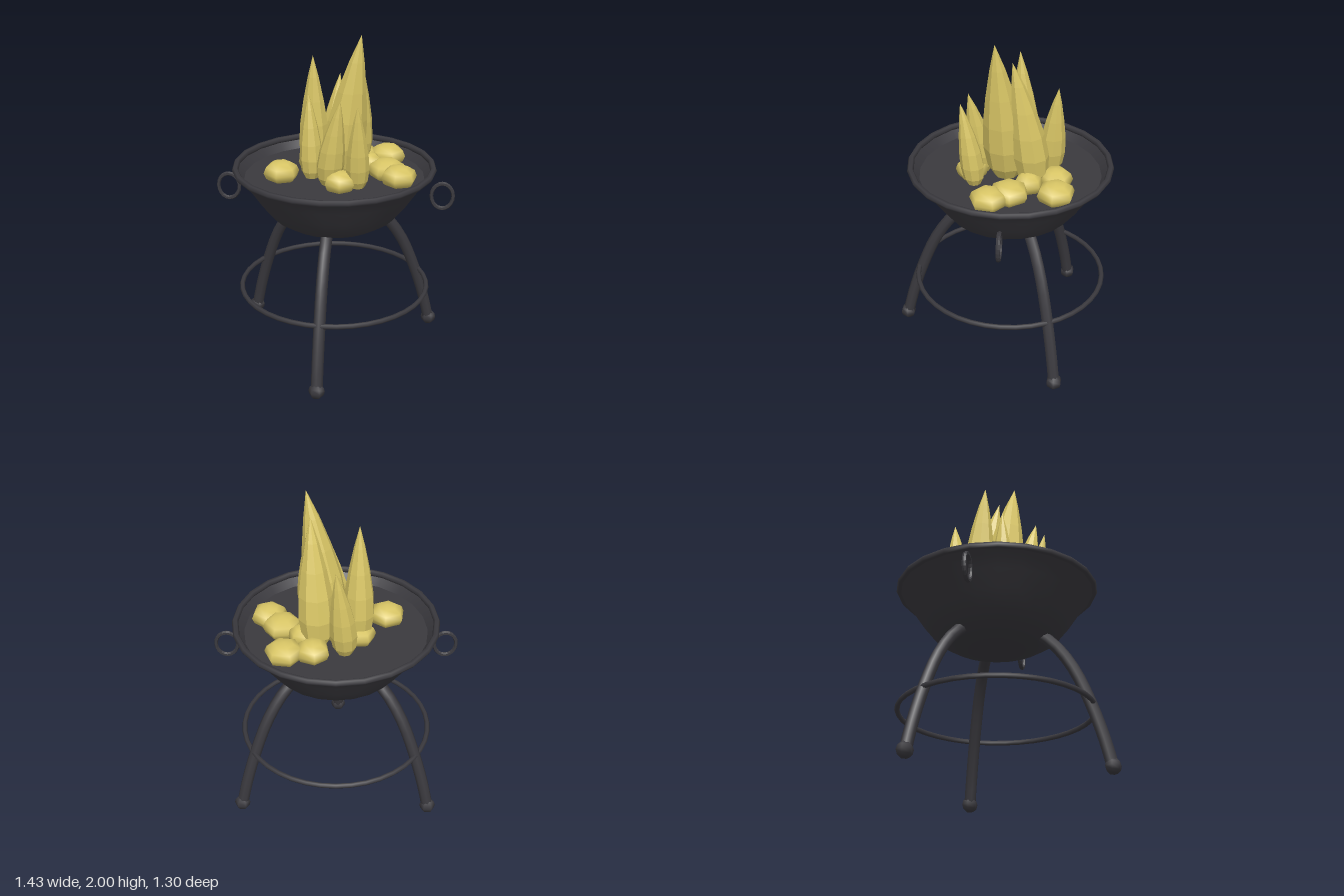
import * as THREE from 'three';

export function createModel() {
  const iron = new THREE.MeshStandardMaterial({ color: 0x3a393e, side: THREE.DoubleSide });
  iron.name = 'dark iron';
  const facetIron = new THREE.MeshStandardMaterial({ color: 0x3a393e, flatShading: true });
  facetIron.name = 'dark iron faceted';
  const glow = new THREE.MeshStandardMaterial({ color: 0xd8c565 });
  glow.name = 'ember yellow';
  const flameMat = new THREE.MeshStandardMaterial({ color: 0xd8c565, flatShading: true });
  flameMat.name = 'flame yellow faceted';

  const model = new THREE.Group();
  model.name = 'firePit';
  const stand = new THREE.Group();
  stand.name = 'stand';
  stand.position.z = -0.048;
  model.add(stand);

  const add = (parent, name, geometry, material, x = 0, y = 0, z = 0) => {
    const mesh = new THREE.Mesh(geometry, material);
    mesh.name = name;
    mesh.position.set(x, y, z);
    parent.add(mesh);
    return mesh;
  };

  // Bowl, rim and the flat bed inside
  const profile = [[0, 0.805], [0.19, 0.812], [0.29, 0.853], [0.375, 0.905], [0.45, 1.0],
    [0.51, 1.09], [0.555, 1.15], [0.59, 1.19]].map(p => new THREE.Vector2(...p));
  add(stand, 'bowl', new THREE.LatheGeometry(profile, 24), iron);
  const rim = add(stand, 'rim', new THREE.TorusGeometry(0.585, 0.019, 6, 24), iron, 0, 1.19);
  rim.rotation.x = Math.PI / 2;
  const bed = add(stand, 'bed', new THREE.CircleGeometry(0.535, 24), iron, 0, 1.13);
  bed.rotation.x = -Math.PI / 2;

  // Brace ring joining the legs
  const brace = add(stand, 'braceRing', new THREE.TorusGeometry(0.567, 0.015, 6, 40), iron, 0, 0.425);
  brace.rotation.x = Math.PI / 2;

  // Three curved legs with ball feet
  const legCurve = new THREE.CatmullRomCurve3([[0.25, 0.89], [0.35, 0.8], [0.455, 0.645],
    [0.55, 0.42], [0.62, 0.2], [0.655, 0.055]].map(([r, y]) => new THREE.Vector3(0, y, r)));
  for (let i = 0; i < 3; i++) {
    const leg = new THREE.Group();
    leg.name = 'leg' + (i + 1);
    leg.rotation.y = i * Math.PI * 2 / 3 - 0.022;
    add(leg, 'legTube', new THREE.TubeGeometry(legCurve, 12, 0.035, 8), iron);
    add(leg, 'foot', new THREE.SphereGeometry(0.048, 6, 6), iron, 0, 0.053, 0.658);
    stand.add(leg);
  }

  // Oval ring handles
  for (const side of [-1, 1]) {
    const handle = add(stand, side > 0 ? 'leftHandle' : 'rightHandle',
      new THREE.TorusGeometry(0.078, 0.013, 6, 20), facetIron, side * 0.642, 1.033);
    handle.scale.x = 0.82;
  }

  // Coals: x, z, radius
  [[-0.3, 0.05, 0.107], [0.13, -0.32, 0.1], [0.29, -0.33, 0.112], [0.31, -0.07, 0.115],
    [0.39, 0.04, 0.108], [0.06, 0.17, 0.095], [0.19, -0.17, 0.085], [-0.13, -0.15, 0.1],
    [-0.02, -0.13, 0.085]].forEach(([x, z, r], i) => {
    const coal = add(model, 'coal' + (i + 1), new THREE.SphereGeometry(1, 6, 6), glow, x, 1.175, z);
    coal.scale.set(r, 0.07, r);
    coal.rotation.y = i * 1.3 + 0.4;
  });

  // Flames: tapered spindles whose tips bend toward the given point
  const flameBase = 1.13;
  const flameProfile = [[0, 0], [0.55, 0.02], [0.86, 0.1], [1, 0.24], [0.92, 0.42],
    [0.68, 0.62], [0.36, 0.82], [0, 1]].map(p => new THREE.Vector2(...p));
  const flame = (name, x, z, r, tipX, tipY, tipZ, turn) => {
    const g = new THREE.LatheGeometry(flameProfile, 9, turn);
    const p = g.attributes.position;
    for (let i = 0; i < p.count; i++) {
      const t = p.getY(i), bend = Math.pow(t, 1.4);
      p.setXYZ(i, p.getX(i) * r + (tipX - x) * bend, t * (tipY - flameBase),
        p.getZ(i) * r + (tipZ - z) * bend);
    }
    g.computeVertexNormals();
    add(model, name, g, flameMat, x, flameBase, z);
  };
  flame('mainFlame', 0.045, -0.03, 0.125, 0.163, 2.0, 0.025, 0.2);
  flame('backFlame', 0.105, -0.19, 0.105, 0.14, 1.89, -0.07, 0.5);
  flame('sideFlame', -0.13, -0.13, 0.09, -0.13, 1.845, -0.09, 0.1);
  flame('rearFlame', -0.05, -0.28, 0.078, 0.0, 1.685, -0.32, 0.3);
  flame('smallSideFlame', -0.125, 0.02, 0.068, -0.14, 1.65, 0.02, 0.6);
  flame('frontFlame', -0.01, 0.115, 0.08, 0.065, 1.66, 0.185, 0.4);
  flame('smallFrontFlame', 0.16, 0.145, 0.068, 0.165, 1.645, 0.217, 0.15);

  return model;
}
